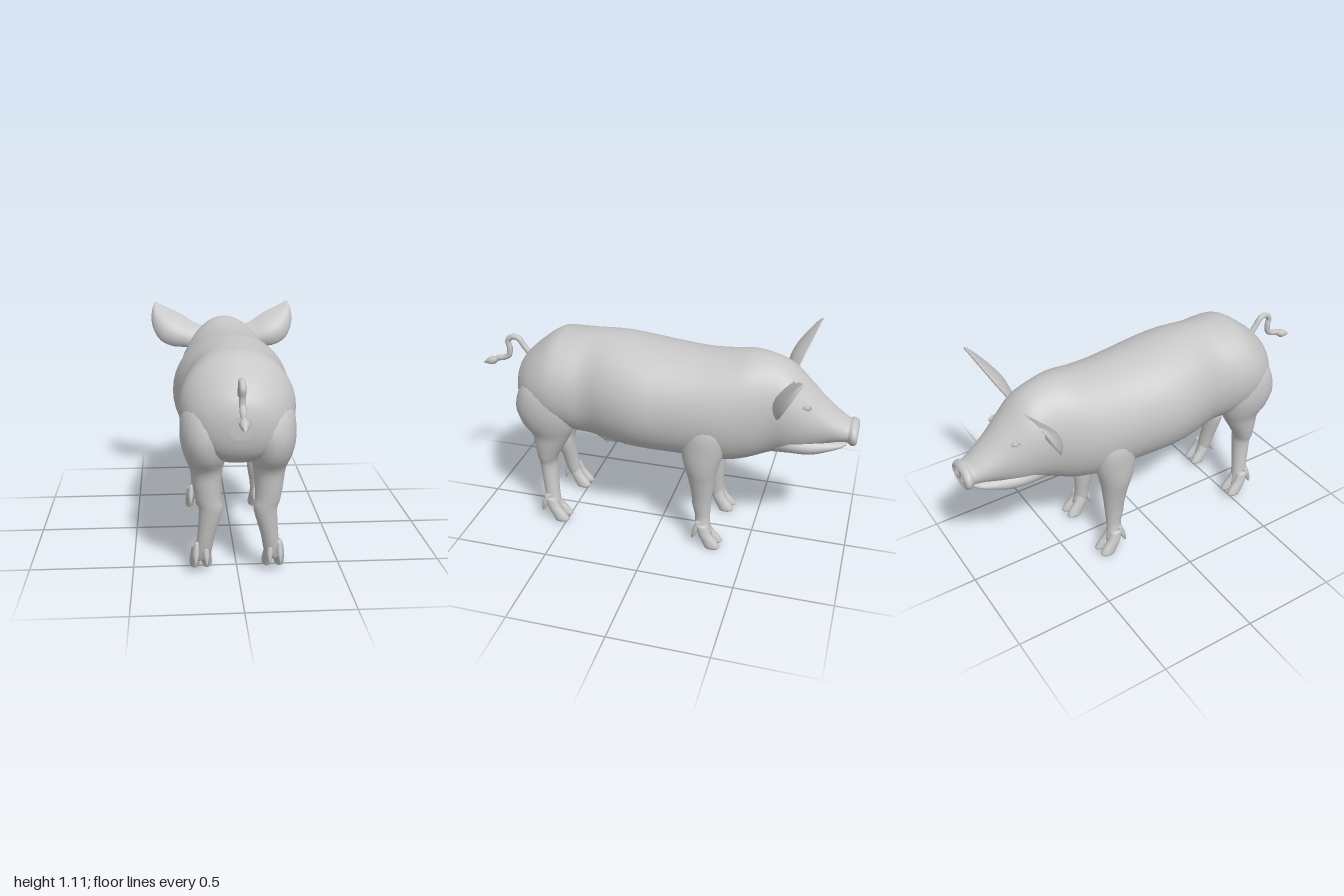
import * as THREE from 'three';

const skin = new THREE.MeshStandardMaterial({ color: 0xc6c6c6 });
skin.name = 'plain grey skin';

// Resample rows of numbers with a smooth spline through every column
function smooth(rows, steps) {
  const out = [];
  const at = i => rows[Math.min(rows.length - 1, Math.max(0, i))];
  for (let i = 0; i < rows.length - 1; i++) {
    for (let k = 0; k < steps; k++) {
      const t = k / steps, a = at(i - 1), b = at(i), c = at(i + 1), d = at(i + 2);
      out.push(b.map((_, j) => 0.5 * (2 * b[j] + (c[j] - a[j]) * t
        + (2 * a[j] - 5 * b[j] + 4 * c[j] - d[j]) * t * t
        + (3 * b[j] - a[j] - 3 * c[j] + d[j]) * t * t * t)));
    }
  }
  out.push(rows[rows.length - 1]);
  return out;
}

// Closed skin over rings of points, turned so its faces look outwards
function loft(name, rings) {
  const n = rings[0].length, m = rings.length, pts = rings.flat(), tri = [];
  for (const ring of [rings[0], rings[m - 1]]) {
    const c = new THREE.Vector3();
    ring.forEach(p => c.addScaledVector(p, 1 / n));
    pts.push(c);
  }
  for (let j = 0; j < n; j++) {
    const k = (j + 1) % n, e = (m - 1) * n;
    for (let i = 0; i < m - 1; i++) {
      const a = i * n + j, b = i * n + k;
      tri.push([a, b, a + n], [b, b + n, a + n]);
    }
    tri.push([m * n, k, j], [m * n + 1, e + j, e + k]);
  }
  const cross = new THREE.Vector3();
  let volume = 0;
  for (const [a, b, c] of tri) volume += pts[a].dot(cross.crossVectors(pts[b], pts[c]));
  if (volume < 0) tri.forEach(t => t.reverse());
  const geo = new THREE.BufferGeometry().setFromPoints(pts);
  geo.setIndex(tri.flat());
  geo.computeVertexNormals();
  return part(name, geo);
}

function part(name, geo) {
  const mesh = new THREE.Mesh(geo, skin);
  mesh.name = name;
  return mesh;
}

function ring(n, f) {
  return Array.from({ length: n }, (_, j) => {
    const a = j / n * Math.PI * 2;
    return new THREE.Vector3(...f(Math.cos(a), Math.sin(a)));
  });
}

// Rows: z, top y, bottom y, half width
function alongZ(name, rows, n = 40) {
  return loft(name, smooth(rows, 4).map(([z, top, low, w]) => ring(n, (c, s) => {
    const e = s < 0 ? 0.85 : 1;
    return [w * Math.sign(c) * Math.abs(c) ** e, (top + low) / 2 + s * (top - low) / 2, z];
  })));
}

// Rows: y, x, z, x radius, z radius
function downY(name, rows, side, n = 20) {
  return loft(name, smooth(rows, 3).map(([y, x, z, rx, rz]) =>
    ring(n, (c, s) => [side * (x + rx * c), y, z + rz * s])));
}

function ball(name, x, y, z, rx, ry, rz) {
  const mesh = part(name, new THREE.SphereGeometry(1, 20, 14));
  mesh.position.set(x, y, z);
  mesh.scale.set(rx, ry, rz);
  return mesh;
}

// Cloven foot: two toes in front, two dewclaws behind
function foot(side, x, y, z) {
  const g = new THREE.Group();
  g.name = 'foot';
  for (const d of [-1, 1]) {
    const t = x + d * 0.02;
    g.add(downY('toe', [
      [y + 0.13, t, z, 0.022, 0.03],
      [y + 0.08, t + d * 0.004, z - 0.015, 0.026, 0.036],
      [y + 0.04, t + d * 0.008, z - 0.042, 0.025, 0.042],
      [y + 0.012, t + d * 0.01, z - 0.058, 0.025, 0.043],
      [y, t + d * 0.01, z - 0.056, 0.02, 0.036]], side, 14));
    g.add(downY('dewclaw', [
      [y + 0.15, t, z + 0.018, 0.012, 0.016],
      [y + 0.09, t + d * 0.004, z + 0.036, 0.015, 0.016],
      [y + 0.045, t + d * 0.006, z + 0.05, 0.004, 0.005]], side, 10));
  }
  return g;
}

export function createModel() {
  const pig = new THREE.Group();
  pig.name = 'pig';

  // Trunk, neck, skull and snout in one skin, rump first
  pig.add(alongZ('body', [
    [0.772, 0.82, 0.72, 0.05], [0.755, 0.88, 0.66, 0.115], [0.72, 0.93, 0.61, 0.175],
    [0.65, 0.995, 0.575, 0.235], [0.55, 1.065, 0.55, 0.27], [0.45, 1.078, 0.535, 0.265],
    [0.35, 1.084, 0.52, 0.245], [0.22, 1.086, 0.5, 0.275], [0.08, 1.07, 0.49, 0.294],
    [-0.08, 1.055, 0.485, 0.28], [-0.22, 1.047, 0.48, 0.265], [-0.35, 1.055, 0.475, 0.25],
    [-0.46, 1.07, 0.495, 0.22], [-0.57, 1.055, 0.54, 0.185], [-0.66, 1.015, 0.57, 0.175],
    [-0.74, 0.94, 0.585, 0.15], [-0.82, 0.86, 0.615, 0.12], [-0.89, 0.8, 0.64, 0.098],
    [-0.945, 0.763, 0.647, 0.08], [-0.96, 0.76, 0.64, 0.083], [-0.972, 0.762, 0.634, 0.091],
    [-0.99, 0.753, 0.638, 0.09], [-0.999, 0.738, 0.652, 0.077], [-0.994, 0.725, 0.664, 0.06]]));

  // Lower jaw, overlapping the snout so that the mouth reads as a crease
  pig.add(alongZ('lowerJaw', [
    [-0.58, 0.69, 0.545, 0.11], [-0.68, 0.7, 0.565, 0.14], [-0.78, 0.685, 0.566, 0.125],
    [-0.86, 0.665, 0.588, 0.095], [-0.92, 0.655, 0.61, 0.068], [-0.95, 0.648, 0.626, 0.04]], 28));

  // Udder and teats
  pig.add(ball('udder', 0, 0.51, 0.25, 0.085, 0.05, 0.13));
  for (const side of [-1, 1]) {
    for (const [z, y] of [[0.3, 0.475], [0.2, 0.475], [0.05, 0.485], [-0.06, 0.48], [-0.13, 0.48]]) {
      pig.add(downY('teat', [
        [y + 0.03, 0.05, z, 0.024, 0.026], [y + 0.01, 0.05, z, 0.016, 0.016],
        [y - 0.012, 0.05, z - 0.006, 0.005, 0.005]], side, 10));
    }

    // Legs
    pig.add(downY('hindLeg', [
      [0.9, 0.1, 0.57, 0.05, 0.06], [0.82, 0.14, 0.58, 0.11, 0.13],
      [0.7, 0.155, 0.583, 0.114, 0.165], [0.6, 0.152, 0.58, 0.1, 0.145],
      [0.53, 0.147, 0.57, 0.078, 0.105], [0.45, 0.145, 0.588, 0.067, 0.076],
      [0.38, 0.138, 0.602, 0.06, 0.054], [0.33, 0.128, 0.603, 0.056, 0.047],
      [0.2, 0.15, 0.588, 0.042, 0.042], [0.12, 0.163, 0.576, 0.04, 0.039],
      [0.07, 0.175, 0.56, 0.036, 0.036]], side));
    pig.add(foot(side, 0.175, 0.018, 0.577));
    pig.add(downY('foreLeg', [
      [0.8, 0.16, -0.27, 0.05, 0.06], [0.7, 0.17, -0.27, 0.09, 0.11],
      [0.58, 0.175, -0.255, 0.088, 0.11], [0.48, 0.175, -0.25, 0.08, 0.088],
      [0.4, 0.17, -0.253, 0.065, 0.07], [0.3, 0.163, -0.255, 0.052, 0.055],
      [0.24, 0.162, -0.255, 0.045, 0.05], [0.17, 0.165, -0.262, 0.036, 0.04],
      [0.12, 0.172, -0.265, 0.038, 0.04], [0.07, 0.178, -0.28, 0.036, 0.036]], side));
    pig.add(foot(side, 0.18, 0.002, -0.267));

    // Cupped ear; rows hold upper edge x, y, lower edge x, y, cup depth
    const ear = smooth([
      [0.07, 0.97, 0.11, 0.85, 0.02], [0.16, 1.0, 0.2, 0.866, 0.035],
      [0.24, 1.048, 0.29, 0.873, 0.05], [0.31, 1.08, 0.36, 0.905, 0.045],
      [0.355, 1.1, 0.4, 0.965, 0.03], [0.378, 1.113, 0.412, 1.03, 0.016],
      [0.392, 1.112, 0.403, 1.085, 0.005]], 4);
    pig.add(loft('ear', ear.map(([tx, ty, bx, by, cup]) => ring(24, (c, s) => {
      const v = (1 - c) / 2, y = ty + (by - ty) * v;
      const z = -0.625 - (y - 0.87) * 0.5 + cup * 4 * v * (1 - v) + 0.008 * s;
      return [side * (tx + (bx - tx) * v), y, z];
    }))));

    // Eye with lids
    pig.add(ball('eye', side * 0.118, 0.855, -0.748, 0.014, 0.012, 0.017));
    const lids = part('eyelids', new THREE.TorusGeometry(0.019, 0.005, 8, 20));
    lids.position.set(side * 0.124, 0.855, -0.75);
    lids.rotation.y = side * 1.9;
    lids.scale.y = 0.7;
    pig.add(lids);

    // Nostril rim
    const nostril = part('nostril', new THREE.TorusGeometry(0.017, 0.006, 8, 20));
    nostril.position.set(side * 0.033, 0.698, -0.993);
    nostril.scale.y = 1.25;
    pig.add(nostril);
  }

  // Curly tail ending in a tuft
  const path = [[0.72, 0.9], [0.755, 0.945], [0.785, 0.985], [0.82, 0.99], [0.845, 0.965],
    [0.838, 0.925], [0.845, 0.885], [0.875, 0.865], [0.915, 0.858]]
    .map(([z, y]) => new THREE.Vector3(0, y, z));
  pig.add(part('tail', new THREE.TubeGeometry(new THREE.CatmullRomCurve3(path), 48, 0.015, 12)));
  const tuft = part('tailTuft', new THREE.LatheGeometry([[0, -0.055], [0.012, -0.05], [0.013, -0.035],
    [0.023, -0.005], [0.019, 0.015], [0.008, 0.04], [0, 0.055]].map(p => new THREE.Vector2(...p)), 14));
  tuft.position.set(0, 0.838, 0.948);
  tuft.rotation.x = Math.PI / 2 + 0.35;
  pig.add(tuft);

  return pig;
}
